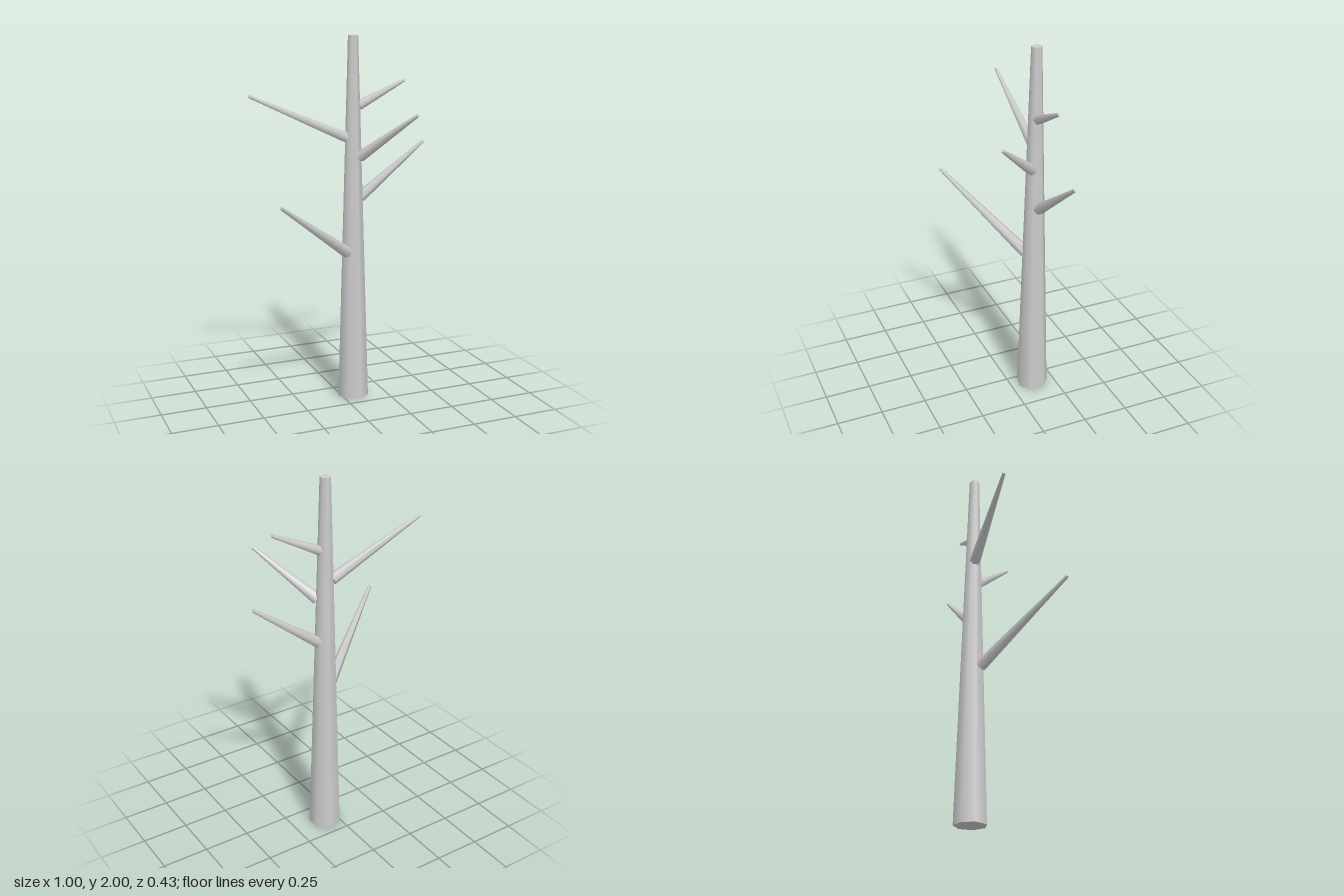
import * as THREE from 'three';

export function createModel() {
  const group = new THREE.Group();
  const bark = new THREE.MeshStandardMaterial({ color: 0xcccccc });
  bark.name = 'greyBark';

  // Seven-sided tapering trunk, one corner towards -x
  const trunk = new THREE.Mesh(
    new THREE.CylinderGeometry(0.028, 0.087, 2, 7, 1, false, -Math.PI / 2), bark);
  trunk.name = 'trunk';
  trunk.position.set(0.067, 1, -0.128);
  group.add(trunk);

  // Tapering branch between two points
  const up = new THREE.Vector3(0, 1, 0);
  function addBranch(name, from, to, baseRadius) {
    const a = new THREE.Vector3(...from);
    const b = new THREE.Vector3(...to);
    const dir = b.clone().sub(a);
    const branch = new THREE.Mesh(
      new THREE.CylinderGeometry(0.009, baseRadius, dir.length(), 6), bark);
    branch.name = name;
    branch.position.copy(a).add(b).multiplyScalar(0.5);
    branch.quaternion.setFromUnitVectors(up, dir.normalize());
    group.add(branch);
  }

  addBranch('lowerRightBranch', [0.022, 0.84, -0.098], [-0.455, 1.185, 0.205], 0.033);
  addBranch('lowerLeftBranch', [0.112, 1.135, -0.132], [0.493, 1.418, -0.143], 0.031);
  addBranch('frontLeftBranch', [0.094, 1.36, -0.098], [0.312, 1.6, 0.157], 0.031);
  addBranch('upperRightBranch', [0.03, 1.465, -0.132], [-0.498, 1.7, -0.15], 0.031);
  addBranch('upperLeftBranch', [0.1, 1.632, -0.126], [0.359, 1.758, -0.114], 0.027);

  return group;
}
